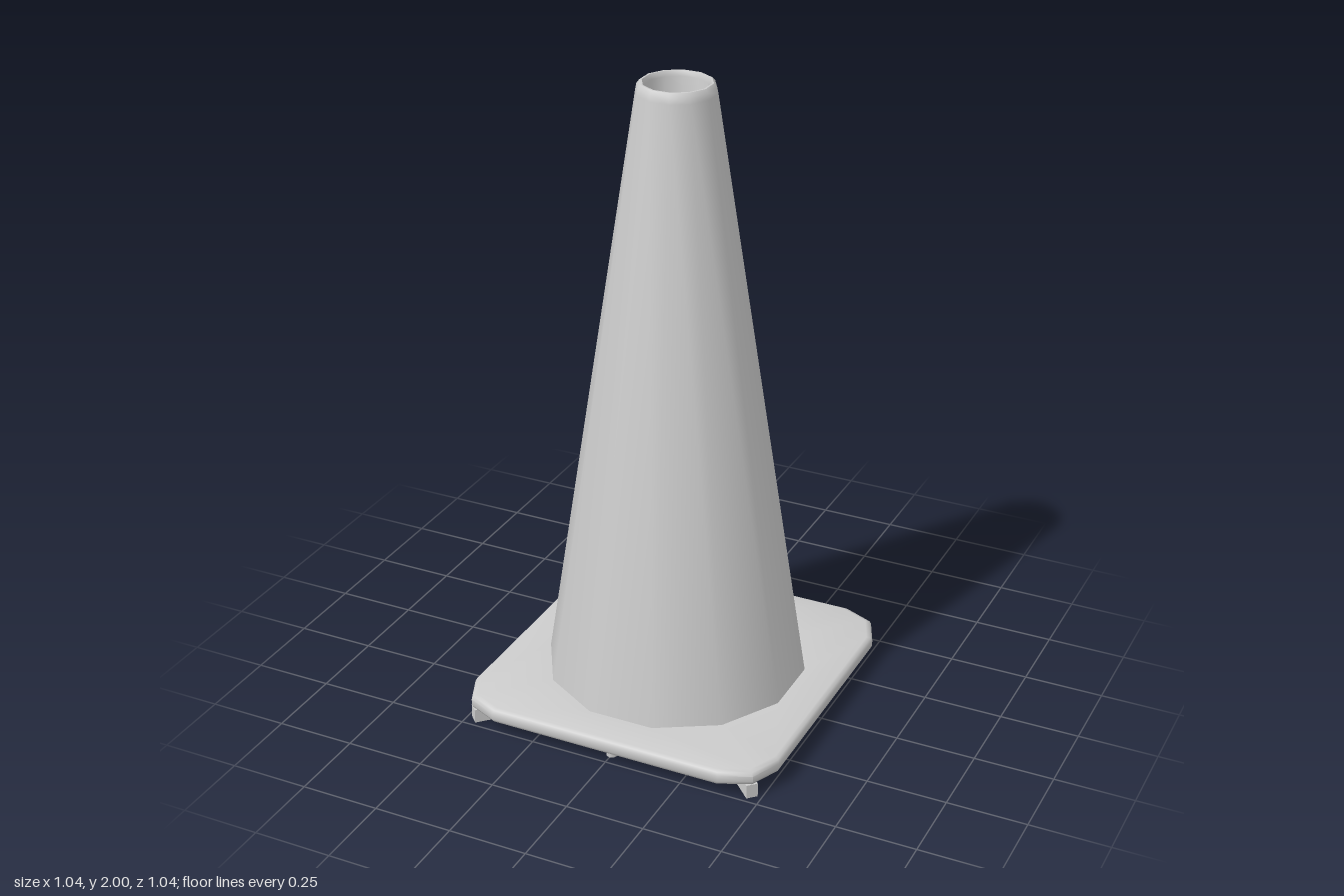
import * as THREE from 'three';
import { toCreasedNormals } from 'three/addons/utils/BufferGeometryUtils.js';

const SIDES = 12;

// Twelve-sided ring, with corners at 15, 45, 75... degrees
function roundRing(r, y) {
  return Array.from({ length: SIDES }, (_, j) => {
    const a = (j + 0.5) * Math.PI / 6;
    return [r * Math.cos(a), y, r * Math.sin(a)];
  });
}

// Square ring with clipped corners, pulled in by an inset
function plateRing(inset, y) {
  const s = 1 - inset / 0.518;
  const corner = [[0.518, 0.38], [0.476, 0.476], [0.38, 0.518]];
  return Array.from({ length: SIDES }, (_, j) => {
    const [x, z] = corner[j % 3];
    const q = Math.floor(j / 3) * Math.PI / 2;
    const c = Math.round(Math.cos(q)), n = Math.round(Math.sin(q));
    return [s * (x * c - z * n), y, s * (x * n + z * c)];
  });
}

// Skin a closed series of rings
function loft(rings) {
  const index = [];
  for (let i = 0; i < rings.length; i++) {
    for (let j = 0; j < SIDES; j++) {
      const a = i * SIDES + j, b = i * SIDES + (j + 1) % SIDES;
      const next = ((i + 1) % rings.length) * SIDES;
      const d = next + j, c = next + (j + 1) % SIDES;
      index.push(a, d, c, a, c, b);
    }
  }
  const g = new THREE.BufferGeometry();
  g.setAttribute('position', new THREE.Float32BufferAttribute(rings.flat(2), 3));
  g.setIndex(index);
  return toCreasedNormals(g, 0.85);
}

export function createModel() {
  const model = new THREE.Group();
  model.name = 'trafficCone';
  const material = new THREE.MeshStandardMaterial({ color: 0xcccccc });

  // Hollow cone and base plate in one skin: underside, rounded rim, top, cone, inside
  const body = new THREE.Mesh(loft([
    roundRing(0.395, 0.04),
    plateRing(0.016, 0.04),
    plateRing(0.005, 0.045),
    plateRing(0, 0.055),
    plateRing(0, 0.075),
    plateRing(0.005, 0.085),
    plateRing(0.016, 0.09),
    roundRing(0.41, 0.09),
    roundRing(0.12, 1.97),
    roundRing(0.116, 1.99),
    roundRing(0.107, 2),
    roundRing(0.101, 2),
    roundRing(0.093, 1.985),
  ]), material);
  body.name = 'coneBody';
  model.add(body);

  // Long ribs under the corners and small round feet under the sides
  const ribShape = new THREE.BoxGeometry(0.225, 0.045, 0.036);
  const footShape = new THREE.CylinderGeometry(0.018, 0.018, 0.045, 8);
  for (let i = 0; i < 4; i++) {
    const a = i * Math.PI / 2, d = a + Math.PI / 4;
    const rib = new THREE.Mesh(ribShape, material);
    rib.name = 'cornerRib';
    rib.position.set(0.557 * Math.cos(d), 0.0225, 0.557 * Math.sin(d));
    rib.rotation.y = -d;
    const foot = new THREE.Mesh(footShape, material);
    foot.name = 'sideFoot';
    foot.position.set(0.455 * Math.cos(a), 0.0225, 0.455 * Math.sin(a));
    model.add(rib, foot);
  }
  return model;
}
